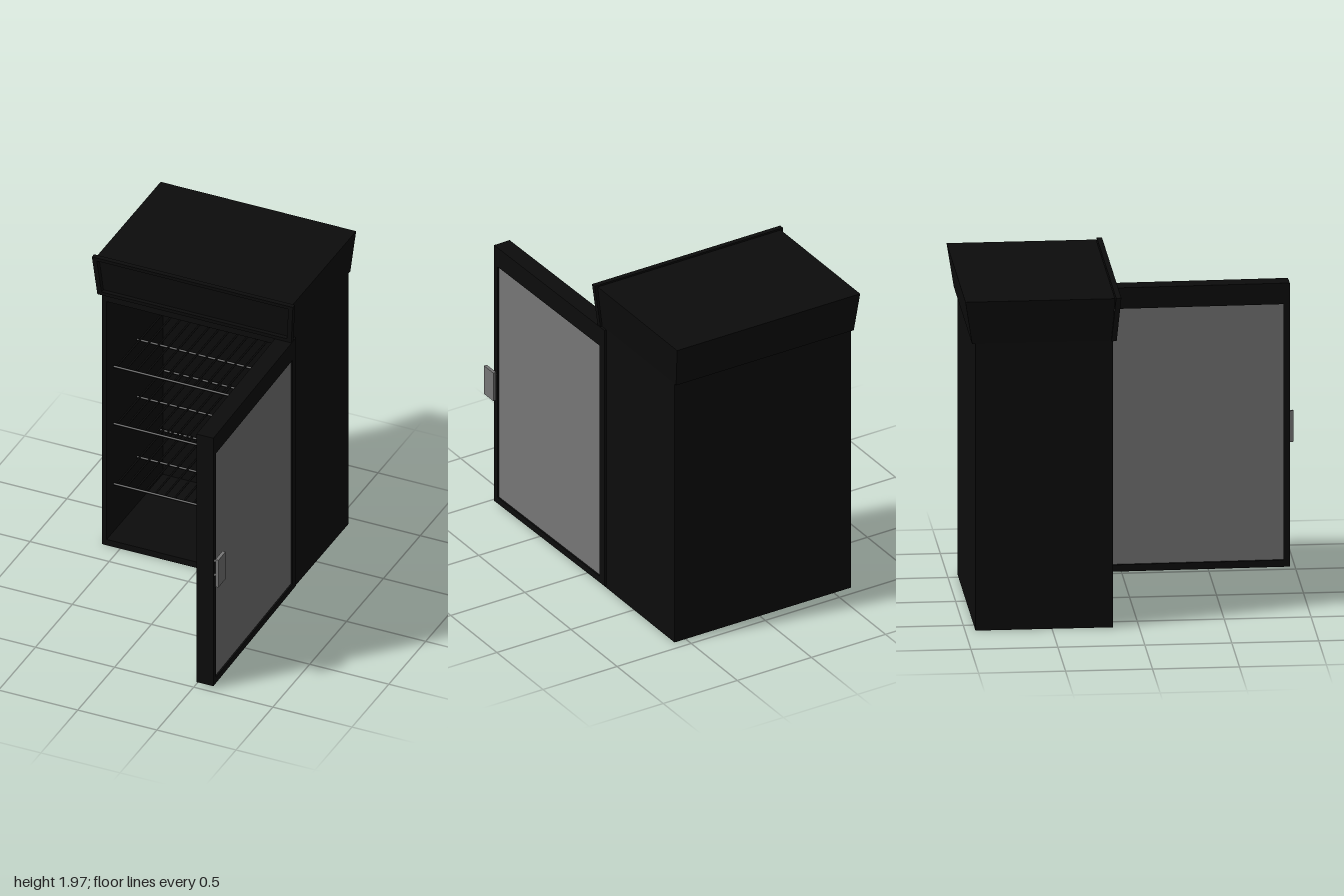
import * as THREE from 'three';

const black = new THREE.MeshStandardMaterial({ color: 0x0c0c0c });
const grey = new THREE.MeshStandardMaterial({ color: 0x777777 });

// Box given by its min and max corners
function box(parent, name, [x0, y0, z0], [x1, y1, z1], material = black) {
  const mesh = new THREE.Mesh(new THREE.BoxGeometry(x1 - x0, y1 - y0, z1 - z0), material);
  mesh.position.set((x0 + x1) / 2, (y0 + y1) / 2, (z0 + z1) / 2);
  mesh.name = name;
  parent.add(mesh);
  return mesh;
}

// Round bar between two points
function bar(parent, name, a, b, radius, material = black) {
  const path = new THREE.LineCurve3(new THREE.Vector3(...a), new THREE.Vector3(...b));
  const mesh = new THREE.Mesh(new THREE.TubeGeometry(path, 1, radius, 8), material);
  mesh.name = name;
  parent.add(mesh);
}

// Flat frame: outer and inner outlines extruded along z
function frameGeometry(outer, inner, depth) {
  const toPoints = (list) => list.map(([x, y]) => new THREE.Vector2(x, y));
  const shape = new THREE.Shape(toPoints(outer));
  shape.holes.push(new THREE.Path(toPoints(inner)));
  return new THREE.ExtrudeGeometry(shape, { depth, bevelEnabled: false });
}

function createCabinet() {
  const g = new THREE.Group();
  g.name = 'cabinet';
  const [l, r, f, b, top] = [-0.615, 0.575, -0.15, -0.94, 1.71];
  box(g, 'leftWall', [l, 0, b], [l + 0.03, top, f]);
  box(g, 'rightWall', [r - 0.03, 0, b], [r, top, f]);
  box(g, 'backWall', [l + 0.03, 0, b], [r - 0.03, top, b + 0.03]);
  box(g, 'floor', [l + 0.03, 0, b + 0.03], [r - 0.03, 0.04, f]);
  box(g, 'ceiling', [l + 0.03, 1.66, b + 0.03], [r - 0.03, top, f]);
  box(g, 'coolingUnit', [l + 0.03, 1.36, b + 0.03], [r - 0.03, 1.66, -0.6]);

  // Wire shelves
  [0.36, 0.77, 1.16].forEach((y) => {
    const shelf = new THREE.Group();
    shelf.name = 'wireShelf';
    const x0 = l + 0.03, x1 = r - 0.03, z0 = -0.88, z1 = -0.25;
    for (const z of [z0, (z0 + z1) / 2, z1]) {
      bar(shelf, 'shelfCrossBar', [x0, y, z], [x1, y, z], 0.008);
    }
    const count = 18;
    for (let i = 0; i <= count; i++) {
      const x = x0 + 0.02 + (i / count) * (x1 - x0 - 0.04);
      bar(shelf, 'shelfWire', [x, y + 0.008, z0], [x, y + 0.008, z1], 0.006);
    }
    g.add(shelf);
  });
  return g;
}

function createHeader() {
  const g = new THREE.Group();
  g.name = 'header';

  // Canopy box that widens toward the top
  const canopy = box(g, 'canopy', [-0.64, 1.71, -1], [0.595, 1.965, -0.14]);
  const p = canopy.geometry.attributes.position;
  for (let i = 0; i < p.count; i++) {
    if (p.getY(i) > 0) continue;
    p.setX(i, p.getX(i) - Math.sign(p.getX(i)) * 0.018);
    if (p.getZ(i) < 0) p.setZ(i, p.getZ(i) + 0.04);
    else p.setZ(i, p.getZ(i) - 0.015);
  }
  canopy.geometry.computeVertexNormals();

  // Flared sign frame, leaning forward at the top
  const frame = frameGeometry(
    [[-0.635, 1.71], [0.59, 1.71], [0.612, 1.972], [-0.658, 1.972]],
    [[-0.608, 1.733], [0.563, 1.733], [0.582, 1.95], [-0.628, 1.95]], 0.03);
  const q = frame.attributes.position;
  for (let i = 0; i < q.count; i++) {
    q.setZ(i, q.getZ(i) - 0.16 + 0.025 * (q.getY(i) - 1.71) / 0.26);
  }
  frame.computeVertexNormals();
  const mesh = new THREE.Mesh(frame, black);
  mesh.name = 'headerFrame';
  g.add(mesh);
  return g;
}

// Open door, hinged at its local z = 0
function createDoor() {
  const g = new THREE.Group();
  g.name = 'door';
  const frame = frameGeometry(
    [[0, 0.015], [1.165, 0.015], [1.165, 1.705], [0, 1.705]],
    [[0.05, 0.055], [1.13, 0.055], [1.13, 1.58], [0.05, 1.58]], 0.106);
  frame.rotateY(-Math.PI / 2).translate(0.053, 0, 0);
  const mesh = new THREE.Mesh(frame, black);
  mesh.name = 'doorFrame';
  g.add(mesh);
  box(g, 'glass', [-0.04, 0.055, 0.05], [0.043, 1.58, 1.13], grey);

  // Handle plate on two posts
  box(g, 'handlePlate', [0.08, 0.72, 1.1], [0.1, 0.905, 1.2], grey);
  for (const y of [0.765, 0.86]) {
    bar(g, 'handlePost', [0.05, y, 1.148], [0.082, y, 1.148], 0.008, grey);
  }
  g.position.set(0.535, 0, -0.2);
  g.rotation.y = 0.017;
  return g;
}

export function createModel() {
  const model = new THREE.Group();
  model.name = 'displayFridge';
  model.add(createCabinet(), createHeader(), createDoor());
  return model;
}
